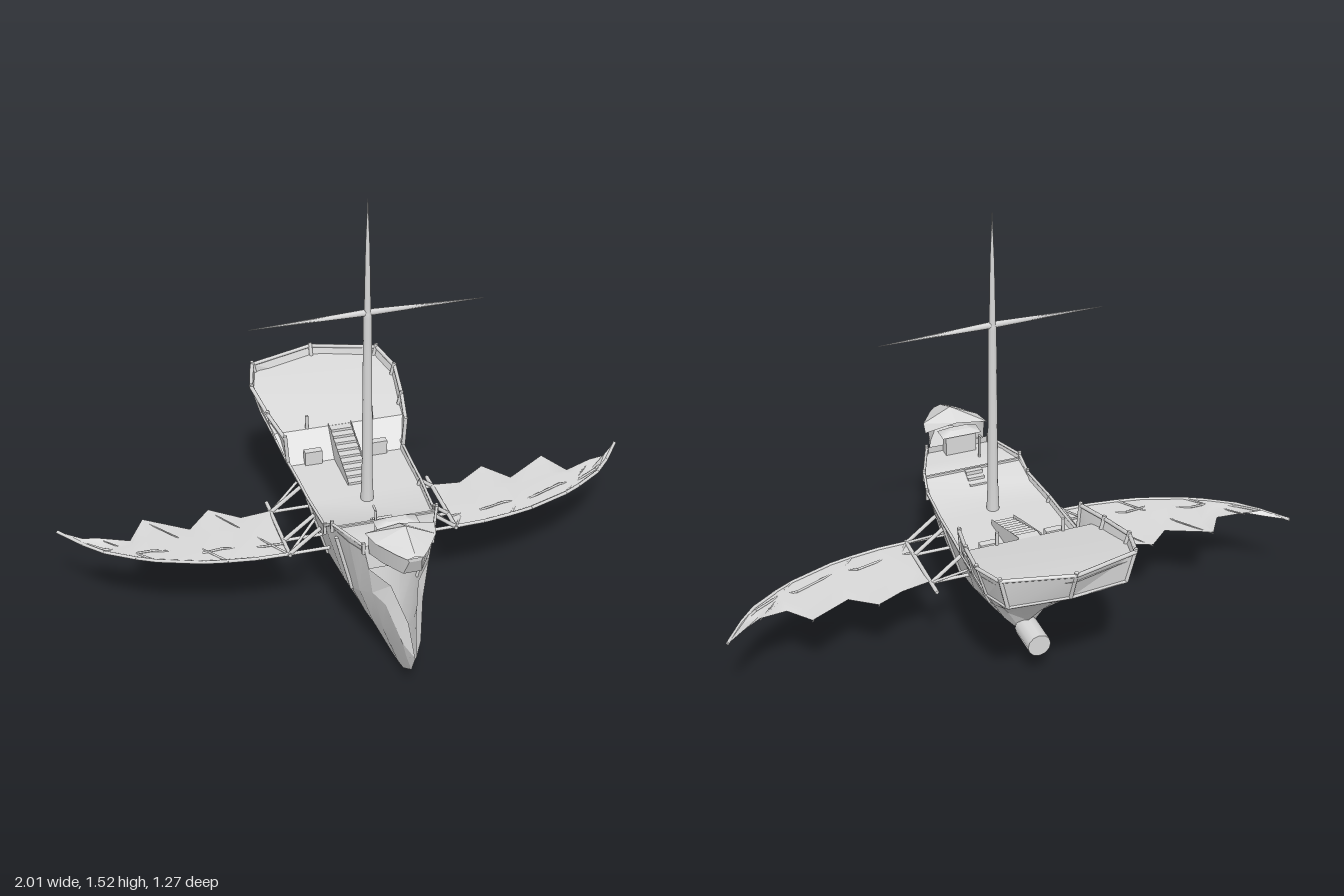
import * as THREE from 'three';
import { toCreasedNormals } from 'three/addons/utils/BufferGeometryUtils.js';

const grey = new THREE.MeshStandardMaterial({ color: 0xd8d8d8, side: THREE.DoubleSide });
grey.name = 'paleGrey';
const SIDES = [1, -1];

function part(parent, name, geo) {
  const mesh = new THREE.Mesh(geo, grey);
  mesh.name = name;
  parent.add(mesh);
  return mesh;
}

function group(parent, name) {
  const g = new THREE.Group();
  g.name = name;
  parent.add(g);
  return g;
}

// Skin over rows of [x, y, z] points, all rows the same length
function sheet(parent, name, rows, crease = 0.5) {
  const n = rows[0].length, index = [];
  for (let j = 0; j < rows.length - 1; j++) {
    for (let i = 0; i < n - 1; i++) {
      const a = j * n + i, c = a + n;
      index.push(a, a + 1, c, a + 1, c + 1, c);
    }
  }
  const geo = new THREE.BufferGeometry();
  geo.setAttribute('position', new THREE.Float32BufferAttribute(rows.flat(2), 3));
  geo.setIndex(index);
  return part(parent, name, toCreasedNormals(geo, crease));
}

// Round bar between two points
function bar(parent, name, a, b, r, r2 = r, sides = 6) {
  const p = new THREE.Vector3(...a), q = new THREE.Vector3(...b), d = q.clone().sub(p);
  const mesh = part(parent, name, new THREE.CylinderGeometry(r2, r, d.length(), sides));
  mesh.position.copy(p).add(q).multiplyScalar(0.5);
  mesh.quaternion.setFromUnitVectors(new THREE.Vector3(0, 1, 0), d.normalize());
  return mesh;
}

function chain(parent, name, points, r) {
  for (let i = 1; i < points.length; i++) bar(parent, name, points[i - 1], points[i], r);
}

function box(parent, name, size, pos) {
  const mesh = part(parent, name, new THREE.BoxGeometry(...size));
  mesh.position.set(...pos);
  return mesh;
}

// Half section mirrored into one row, from left to right
const mirrorRow = (half) => [...half, ...half.slice(0, -1).reverse().map(([x, y, z]) => [-x, y, z])];
// Flat row across the ship
const across = ([x, y, z]) => [[x, y, z], [-x, y, z]];

function buildHull(ship) {
  // z, keel y, knuckle x and y, top x and y
  const stations = [
    [0.635, 0.165, 0.004, 0.17, 0.003, 0.175],
    [0.595, 0.09, 0.03, 0.2, 0.012, 0.275],
    [0.51, 0.032, 0.062, 0.3, 0.045, 0.37],
    [0.45, 0.015, 0.088, 0.31, 0.1, 0.405],
    [0.44, 0.013, 0.09, 0.305, 0.115, 0.49],
    [0.375, 0, 0.108, 0.27, 0.148, 0.49],
    [0.29, 0.01, 0.112, 0.225, 0.176, 0.487],
    [0.235, 0.02, 0.12, 0.22, 0.185, 0.445],
    [0.06, 0.047, 0.127, 0.21, 0.197, 0.445],
    [-0.06, 0.075, 0.127, 0.225, 0.2, 0.445],
    [-0.2, 0.1, 0.12, 0.26, 0.205, 0.447],
    [-0.24, 0.18, 0.122, 0.275, 0.208, 0.45],
    [-0.35, 0.295, 0.13, 0.335, 0.217, 0.463],
    [-0.45, 0.39, 0.135, 0.412, 0.225, 0.48],
    [-0.57, 0.485, 0.115, 0.49, 0.2, 0.5],
    [-0.59, 0.504, 0.06, 0.504, 0.1, 0.504],
  ];
  sheet(ship, 'hull', stations.map(([z, k, kx, ky, tx, ty]) =>
    mirrorRow([[tx, ty, z], [kx, ky, z], [kx * 0.58, (k + ky) / 2, z], [0, k, z]])), 0.2);
  bar(ship, 'sternTube', [0, 0.145, -0.22], [0, 0.145, -0.34], 0.04, 0.04, 12);

  // Ribs and gunwale on both sides
  for (const s of SIDES) {
    for (const [z, x, y, tx] of [[0.3, 0.112, 0.23, 0.164], [0.06, 0.127, 0.21, 0.196], [-0.2, 0.12, 0.26, 0.204]])
      bar(ship, 'hullRib', [s * tx, 0.44, z], [s * x, y, z], 0.008);
    chain(ship, 'gunwale', [[0.115, 0.49, 0.44], [0.176, 0.487, 0.29], [0.185, 0.445, 0.235],
      [0.197, 0.445, 0.06], [0.2, 0.445, -0.06], [0.205, 0.445, -0.17]].map(([x, y, z]) => [s * x, y, z]), 0.005);
    for (const [x, y, z] of [[0.115, 0.49, 0.44], [0.176, 0.487, 0.29], [0.185, 0.445, 0.235]])
      bar(ship, 'railPost', [s * x, y - 0.03, z], [s * x, y + 0.012, z], 0.006);
  }
}

function buildDecks(ship) {
  // Main deck, ramp and forecastle deck
  sheet(ship, 'mainDeck', [[0.205, 0.425, -0.25], [0.198, 0.425, -0.06], [0.194, 0.425, 0.06],
    [0.183, 0.425, 0.21], [0.172, 0.468, 0.29], [0.146, 0.468, 0.375], [0.114, 0.468, 0.44]].map(across), 0.6);
  sheet(ship, 'forecastleFront', [across([0.115, 0.49, 0.442]), across([0.1, 0.405, 0.45])]);
  for (let i = 0; i < 3; i++)
    box(ship, 'foreStep', [0.06, 0.02, 0.022], [0, 0.432 + i * 0.014, 0.24 + i * 0.02]);
  box(ship, 'foreBeam', [0.34, 0.008, 0.008], [0, 0.47, 0.29]);
  // Sloped bulkhead below the raised stern deck
  sheet(ship, 'bulkhead', [across([0.232, 0.515, -0.245]), across([0.2, 0.425, -0.17])]);
  for (const s of SIDES) {
    box(ship, 'cabinDoor', [0.06, 0.05, 0.025], [s * 0.115, 0.45, -0.17]);
    bar(ship, 'deckPost', [s * 0.115, 0.5, -0.25], [s * 0.115, 0.565, -0.25], 0.006);
  }
  // Stairs
  const stairs = group(ship, 'stairs');
  for (let i = 0; i < 9; i++)
    box(stairs, 'step', [0.075, 0.009, 0.03], [0, 0.43 + i * 0.01, -0.015 - i * 0.027]);
  for (const s of SIDES)
    sheet(stairs, 'stringer', [[[s * 0.04, 0.445, 0], [s * 0.04, 0.425, 0]],
      [[s * 0.04, 0.525, -0.25], [s * 0.04, 0.425, -0.25]]]);
}

function buildStern(ship) {
  // Flared bulwark around the raised deck: bottom and rail points, front to back
  const low = [[0.205, 0.445, -0.165], [0.212, 0.457, -0.3], [0.225, 0.48, -0.45], [0.2, 0.5, -0.565], [0, 0.505, -0.59]];
  const rail = [[0.213, 0.54, -0.165], [0.24, 0.563, -0.3], [0.26, 0.59, -0.45], [0.228, 0.608, -0.57], [0, 0.614, -0.633]];
  const flip = ([x, y, z]) => [-x, y, z];
  const loop = (p) => [...p, ...p.slice(0, -1).reverse().map(flip)];
  const lows = loop(low), rails = loop(rail);
  sheet(ship, 'sternBulwark', rails.map((p, i) => [p, lows[i]]), 0.3);
  chain(ship, 'sternRail', rails, 0.007);
  chain(ship, 'sternMoulding', lows, 0.006);
  rails.forEach((p, i) => {
    bar(ship, 'sternPost', lows[i], [p[0], p[1] + 0.012, p[2]], 0.007);
  });
  sheet(ship, 'sternDeck', [[0.01, 0.585, -0.625], [0.22, 0.578, -0.565], [0.252, 0.56, -0.45],
    [0.232, 0.515, -0.245]].map(across));
}

function buildMast(ship) {
  const mast = group(ship, 'mast');
  mast.position.z = 0.09;
  const profile = [[0.022, 0.42], [0.018, 0.52], [0.0135, 1.11], [0.0135, 1.125], [0.011, 1.13],
    [0.007, 1.36], [0.001, 1.52]];
  part(mast, 'mastPole', new THREE.LatheGeometry(profile.map((p) => new THREE.Vector2(...p)), 10));
  for (const s of SIDES) bar(mast, 'yard', [0, 1.126, 0], [s * 0.385, 1.121, 0], 0.011, 0.001);
}

function buildFigurehead(ship) {
  const head = group(ship, 'figurehead');
  // z, ridge y, eave x and y, bottom x and y
  const sections = [
    [0.618, 0.548, 0.026, 0.54, 0.02, 0.53],
    [0.59, 0.56, 0.05, 0.542, 0.03, 0.47],
    [0.515, 0.594, 0.1, 0.546, 0.075, 0.468],
    [0.45, 0.562, 0.115, 0.545, 0.1, 0.466],
  ];
  sheet(head, 'headRoof', sections.map(([z, r, x, y]) => mirrorRow([[x, y, z], [0, r, z]]).reverse()), 0.3);
  sheet(head, 'headBody', sections.map(([z, , ex, ey, x, y]) => mirrorRow([[ex * 0.9, ey, z], [x, y, z], [0, y, z]])), 0.3);
  sheet(head, 'headNose', [across([0.026, 0.542, 0.618]), across([0.02, 0.53, 0.618])]);
  // Small roofed box behind the head and a hooked pole
  box(head, 'hatchBox', [0.11, 0.08, 0.035], [0, 0.507, 0.42]);
  const roof = part(head, 'hatchRoof', new THREE.CylinderGeometry(0.045, 0.1, 0.016, 4, 1, false, Math.PI / 4));
  roof.position.set(0, 0.552, 0.42);
  roof.scale.z = 0.42;
  chain(head, 'hookPole', [[-0.05, 0.468, 0.355], [-0.05, 0.555, 0.355], [-0.05, 0.56, 0.33]], 0.004);
}

function buildWing(ship, s) {
  const wing = group(ship, s > 0 ? 'leftWing' : 'rightWing');
  const Y = 0.306;
  // x, leading z, trailing z
  const ribs = [[0.29, 0.165, -0.09], [0.39, 0.162, -0.095], [0.49, 0.148, -0.155], [0.57, 0.132, -0.075],
    [0.715, 0.08, -0.16], [0.775, 0.048, -0.065], [0.87, -0.015, -0.09], [0.93, -0.08, -0.115], [1, -0.175, -0.178]];
  const rows = ribs.map(([x, l, t], i) => {
    const wave = i === 8 ? 0 : (i % 2 ? 1 : -1) * 0.01;
    const row = [[s * x, Y - wave * 0.6, t], [s * x, Y + wave, l * 0.4 + t * 0.6], [s * x, Y, l]];
    return s > 0 ? row : row.reverse();
  });
  sheet(wing, 'membrane', rows, 1);
  chain(wing, 'leadingSpar', ribs.map(([x, l]) => [s * x, Y, l]), 0.006);
  chain(wing, 'innerSpar', ribs.slice(0, 8).map(([x, l, t]) => [s * x, Y, l * 0.75 + t * 0.25]), 0.004);
  for (const [i, j] of [[0, 2], [2, 4], [4, 6]])
    bar(wing, 'finger', [s * ribs[i][0], Y, ribs[i][1]], [s * ribs[j][0], Y, ribs[j][2]], 0.004, 0.002);

  // Outrigger frame tying the wing to the hull
  bar(wing, 'frameBeam', [s * 0.287, Y, 0.175], [s * 0.287, Y, -0.15], 0.007);
  for (const z of [0.165, 0.085, -0.09]) {
    bar(wing, 'upperStrut', [s * 0.18, 0.39, z], [s * 0.287, Y, z], 0.007);
    bar(wing, 'lowerStrut', [s * 0.15, Y, z], [s * 0.29, Y, z], 0.006);
  }
  bar(wing, 'diagonalStrut', [s * 0.18, 0.37, 0.085], [s * 0.287, Y, 0.165], 0.005);
  bar(wing, 'diagonalStrut', [s * 0.18, 0.37, -0.15], [s * 0.287, Y, -0.09], 0.005);
}

export function createModel() {
  const ship = new THREE.Group();
  ship.name = 'wingedShip';
  buildHull(ship);
  buildDecks(ship);
  buildStern(ship);
  buildMast(ship);
  buildFigurehead(ship);
  for (const s of SIDES) buildWing(ship, s);
  return ship;
}
